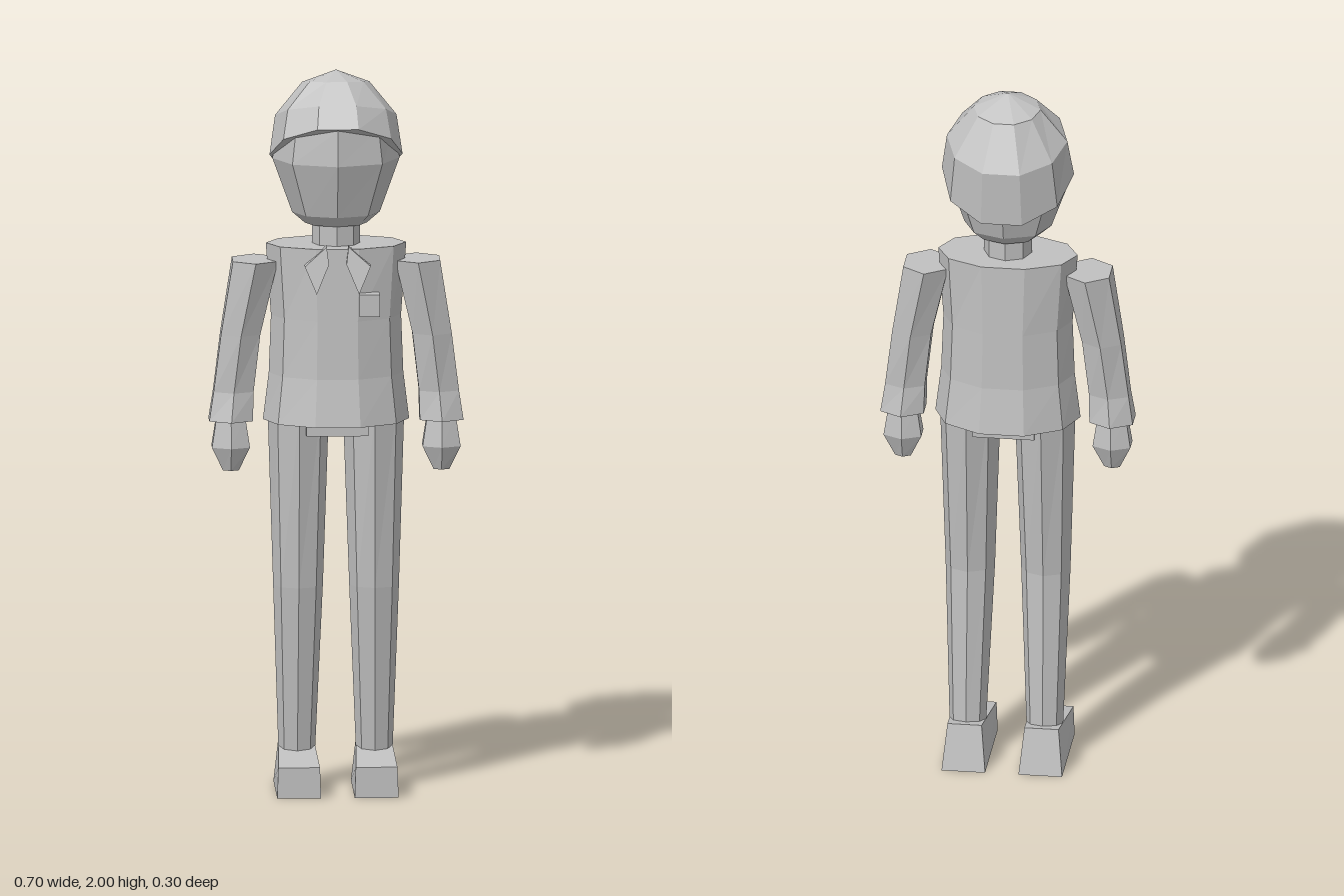
import * as THREE from 'three';

const grey = new THREE.MeshStandardMaterial({ color: 0xc0c0c0 });
grey.name = 'plain grey';

// Faceted solid through elliptical rings, listed bottom to top:
// [y, centre x, centre z, radius x, radius z, slope of y along z]
function loft(rings, sides, phase = 0) {
  const pos = [];
  const point = ([y, cx, cz, rx, rz, slope = 0], i) => {
    const a = phase + ((i % sides) / sides) * Math.PI * 2;
    const z = cz + rz * Math.sin(a);
    return [cx + rx * Math.cos(a), y + slope * z, z];
  };
  const centre = ([y, cx, cz, , , slope = 0]) => [cx, y + slope * cz, cz];
  const tri = (a, b, c) => pos.push(...a, ...b, ...c);
  const first = rings[0], last = rings[rings.length - 1];
  for (let i = 0; i < sides; i++) {
    for (let r = 0; r < rings.length - 1; r++) {
      const l0 = point(rings[r], i), l1 = point(rings[r], i + 1);
      const u0 = point(rings[r + 1], i), u1 = point(rings[r + 1], i + 1);
      tri(l0, u0, l1);
      if (rings[r + 1][3] > 0) tri(u0, u1, l1);
    }
    tri(centre(first), point(first, i), point(first, i + 1));
    if (last[3] > 0) tri(centre(last), point(last, i + 1), point(last, i));
  }
  const g = new THREE.BufferGeometry();
  g.setAttribute('position', new THREE.Float32BufferAttribute(pos, 3));
  g.computeVertexNormals();
  return g;
}

// Move every vertex by a rule, keeping flat faces
function reshape(geometry, rule) {
  const g = geometry.index ? geometry.toNonIndexed() : geometry;
  const p = g.attributes.position, v = new THREE.Vector3();
  for (let i = 0; i < p.count; i++) {
    rule(v.fromBufferAttribute(p, i));
    p.setXYZ(i, v.x, v.y, v.z);
  }
  g.computeVertexNormals();
  return g;
}

// Wedge shoe, taller and narrower at the heel; s is the side
function shoe(s) {
  return reshape(new THREE.BoxGeometry(1, 1, 1), (v) => {
    const top = v.y > 0, front = v.z > 0;
    const half = !top ? 0.06 : front ? 0.057 : 0.047;
    v.set(s * 0.106 + Math.sign(v.x) * half,
      top ? (front ? 0.085 : 0.13) : 0,
      front ? 0.137 : top ? -0.108 : -0.135);
  });
}

// Pointed collar flap leaning out over the chest
function lapel(s) {
  const pts = [[0.03, 1.528], [0.09, 1.475], [0.058, 1.4], [0.024, 1.48]];
  const shape = new THREE.Shape(pts.map(([x, y]) => new THREE.Vector2(s * x, y)));
  const g = new THREE.ExtrudeGeometry(shape, { depth: 0.03, bevelEnabled: false });
  return reshape(g, (v) => { v.z += 0.088 + (1.528 - v.y) * 0.18; });
}

export function createModel() {
  const model = new THREE.Group();
  model.name = 'figure';
  const add = (name, geometry) => {
    const mesh = new THREE.Mesh(geometry, grey);
    mesh.name = name;
    model.add(mesh);
    return mesh;
  };

  // Head, with the cap sloping down to the back
  add('head', loft([
    [1.575, 0, 0, 0.085, 0.07],
    [1.605, 0, 0, 0.12, 0.1],
    [1.755, 0, 0, 0.174, 0.147],
    [1.84, 0, 0, 0.16, 0.14, 0.1],
  ], 8));
  add('cap', loft([
    [1.765, 0, 0, 0.182, 0.155, 0.64],
    [1.878, 0, -0.018, 0.166, 0.142, 0.35],
    [1.966, 0, -0.018, 0.092, 0.082, 0.16],
    [2, 0, 0, 0, 0],
  ], 10));
  add('neck', loft([[1.48, 0, 0.003, 0.066, 0.064], [1.6, 0, 0.003, 0.066, 0.064]], 8));

  // Jacket and its details
  add('jacket', loft([
    [1.03, 0, 0, 0.2, 0.15],
    [1.16, 0, 0, 0.184, 0.13],
    [1.32, 0, 0, 0.178, 0.122],
    [1.52, 0, 0, 0.192, 0.114],
  ], 10));
  add('pocket', new THREE.BoxGeometry(0.055, 0.062, 0.04)).position.set(0.087, 1.367, 0.116);
  add('hips', new THREE.BoxGeometry(0.17, 0.08, 0.21)).position.set(0, 1.04, 0.003);

  // Paired parts
  for (const s of [1, -1]) {
    const side = s > 0 ? 'left' : 'right';
    const half = Math.PI / 6;
    add(side + 'Lapel', lapel(s));
    add(side + 'Sleeve', loft([
      [1.03, s * 0.288, 0, 0.069, 0.066],
      [1.11, s * 0.281, 0, 0.063, 0.05],
      [1.27, s * 0.262, 0, 0.062, 0.062],
      [1.475, s * 0.222, 0, 0.071, 0.08],
    ], 6, half));
    add(side + 'Hand', loft([
      [0.89, s * 0.288, 0, 0.025, 0.022],
      [0.955, s * 0.288, 0, 0.06, 0.048],
      [1.04, s * 0.288, 0, 0.045, 0.035],
    ], 6, half));
    add(side + 'Leg', loft([
      [0.1, s * 0.106, -0.037, 0.05, 0.046],
      [0.57, s * 0.104, 0.002, 0.068, 0.063],
      [1.06, s * 0.103, -0.006, 0.084, 0.1],
    ], 8));
    add(side + 'Shoe', shoe(s));
  }
  return model;
}
